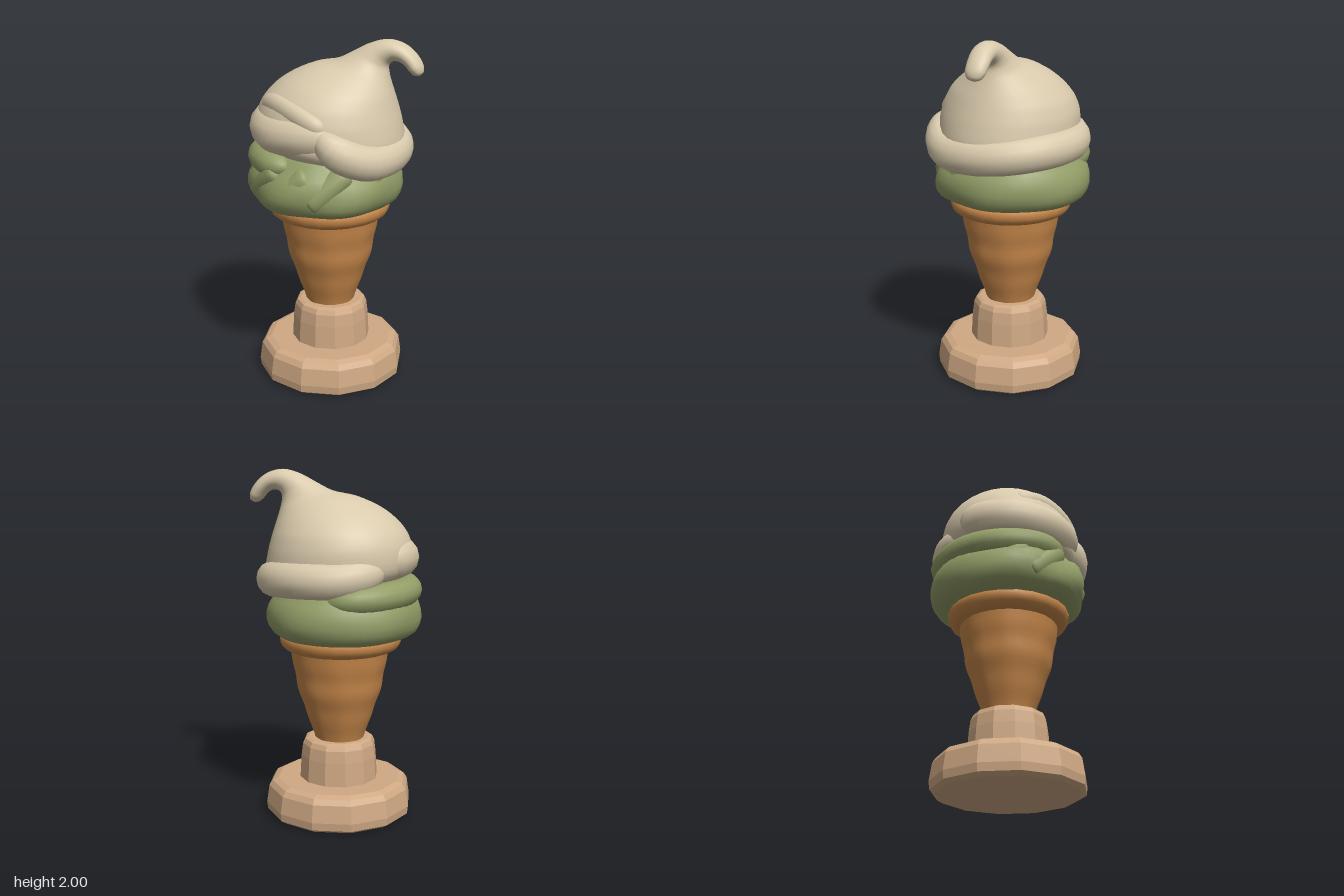
import * as THREE from 'three';

const mat = (name, color) => {
  const m = new THREE.MeshStandardMaterial({ color });
  m.name = name;
  return m;
};

// Skin a list of rings (each an array of Vector3), outward for rings turning about the travel direction
function skin(rings) {
  const n = rings[0].length, pos = [], idx = [];
  rings.forEach(r => r.forEach(p => pos.push(p.x, p.y, p.z)));
  for (let i = 0; i < rings.length - 1; i++) {
    for (let j = 0; j < n; j++) {
      const a = i * n + j, b = i * n + (j + 1) % n;
      idx.push(a, b, a + n, b, b + n, a + n);
    }
  }
  const g = new THREE.BufferGeometry();
  g.setAttribute('position', new THREE.Float32BufferAttribute(pos, 3));
  g.setIndex(idx);
  g.computeVertexNormals();
  return g;
}

function ring(center, u, v, n) {
  return Array.from({ length: n }, (_, j) => {
    const a = j / n * Math.PI * 2;
    return center.clone().addScaledVector(u, Math.cos(a)).addScaledVector(v, Math.sin(a));
  });
}

// Soft roll of cream with rounded ends: rs is the sideways radius, rv the upright one
function roll(points, rs, rv, steps = 28) {
  const curve = new THREE.CatmullRomCurve3(points.map(p => new THREE.Vector3(...p)));
  const up = new THREE.Vector3(0, 1, 0), rings = [];
  for (let i = 0; i <= steps; i++) {
    const t = (1 - Math.cos(i / steps * Math.PI)) / 2;
    const dir = curve.getTangentAt(t);
    const side = up.clone().cross(dir).normalize();
    const top = dir.clone().cross(side);
    const e = Math.min(t, 1 - t) / 0.14;
    const k = e >= 1 ? 1 : Math.sqrt(Math.max(0, 1 - (1 - e) ** 2));
    rings.push(ring(curve.getPointAt(t), side.multiplyScalar(rs * k), top.multiplyScalar(rv * k), 14));
  }
  return skin(rings);
}

// Lathe with a rule for nudging the radius by angle and height
function turned(profile, sides, bump) {
  const rings = profile.map(([r, y]) => Array.from({ length: sides }, (_, j) => {
    const a = j / sides * Math.PI * 2;
    const q = r * (1 + (bump ? bump(a, y) : 0));
    return new THREE.Vector3(Math.sin(a) * q, y, Math.cos(a) * q);
  }));
  return skin(rings);
}

function smoothProfile(points, steps) {
  const c = new THREE.SplineCurve(points.map(p => new THREE.Vector2(...p)));
  return c.getSpacedPoints(steps).map(p => [p.x, p.y]);
}

function faceted(g) {
  const f = g.toNonIndexed();
  f.computeVertexNormals();
  return f;
}

export function createModel() {
  const wood = mat('stand tan', 0xd0a984);
  const wafer = mat('waffle orange', 0xc8884a);
  const green = mat('pistachio green', 0x929d67);
  const cream = mat('vanilla cream', 0xd9caac);

  const model = new THREE.Group();
  model.name = 'iceCreamCone';
  const add = (name, geometry, material, x = 0) => {
    const m = new THREE.Mesh(geometry, material);
    m.name = name;
    m.position.x = x;
    model.add(m);
    return m;
  };

  // Stand: wide foot and narrow socket
  add('standFoot', faceted(turned([[0, 0.005], [0.395, 0.005], [0.425, 0.025], [0.43, 0.07],
    [0.415, 0.17], [0.395, 0.2], [0.36, 0.215], [0, 0.215]], 12)), wood, -0.02);
  add('standSocket', faceted(turned([[0.23, 0.21], [0.222, 0.35], [0.213, 0.42],
    [0.2, 0.448], [0.18, 0.457], [0, 0.457]], 12)), wood, -0.02);

  // Waffle cone with shallow diagonal dimples, then its rim
  const waffle = (a, y) => 0.03 * Math.sin(a * 4 + y * 17) * Math.sin(a * 4 - y * 17) * Math.min(1, (1 - y) * 6);
  add('waffleCone', turned(smoothProfile([[0.14, 0.44], [0.165, 0.53], [0.205, 0.64], [0.24, 0.76],
    [0.262, 0.87], [0.285, 1.0]], 18), 32, waffle), wafer, -0.025);
  add('coneRim', turned(smoothProfile([[0.27, 0.975], [0.305, 0.985], [0.335, 1.005], [0.35, 1.04],
    [0.345, 1.065], [0.325, 1.08], [0.2, 1.085], [0, 1.085]], 20), 24), wafer, -0.03);

  // Green scoop: ripples run diagonally and fade out toward the back
  const ripple = (a, y) => 0.03 * Math.sin(a * 6 - y * 14) * (0.6 + 0.4 * Math.cos(a));
  const scoop = add('greenScoop', turned(smoothProfile([[0, 1.06], [0.25, 1.055], [0.36, 1.07], [0.415, 1.11],
    [0.435, 1.18], [0.42, 1.26], [0.37, 1.33], [0.3, 1.4], [0, 1.43]], 26), 40, ripple), green, -0.05);
  scoop.scale.z = 1.04;

  // Slanted folds across the front of the scoop
  [-1.5, -0.95, -0.4, 0.15, 0.7].forEach((a, i) => {
    const pts = [0, 0.33, 0.67, 1].map(t => {
      const th = a + t * 0.62, r = 0.355 - 0.02 * t;
      return [Math.sin(th) * r - 0.05, 1.14 + t * (0.17 + 0.02 * (i % 2)), Math.cos(th) * r * 1.05];
    });
    add('greenFold' + (i + 1), roll(pts, 0.085, 0.075, 16), green);
  });

  // Upper green swirl wrapping the left and back
  add('greenSwirl', roll([[-0.12, 1.33, 0.36], [-0.3, 1.34, 0.25], [-0.4, 1.335, 0.06], [-0.38, 1.33, -0.14],
    [-0.25, 1.32, -0.3], [-0.05, 1.31, -0.33]], 0.09, 0.08), green);

  // Cream dome flowing into a bent tip: [left x, y, right x, y, half depth, centre z]
  const keys = [
    [-0.01, 1.35, 0.01, 1.35, 0.01, 0], [-0.34, 1.38, 0.36, 1.34, 0.33, 0], [-0.43, 1.46, 0.4, 1.42, 0.395, 0],
    [-0.435, 1.58, 0.385, 1.54, 0.39, 0], [-0.39, 1.68, 0.362, 1.63, 0.36, 0],
    [-0.28, 1.78, 0.343, 1.7, 0.295, 0], [-0.12, 1.855, 0.325, 1.76, 0.205, -0.01],
    [0.02, 1.885, 0.312, 1.81, 0.135, -0.02], [0.12, 1.935, 0.306, 1.85, 0.095, -0.03],
    [0.2, 1.975, 0.316, 1.872, 0.078, -0.035], [0.3, 2, 0.34, 1.884, 0.068, -0.04],
    [0.39, 1.98, 0.372, 1.88, 0.065, -0.045], [0.455, 1.93, 0.4, 1.862, 0.063, -0.05],
    [0.495, 1.87, 0.425, 1.835, 0.058, -0.05], [0.498, 1.83, 0.45, 1.815, 0.038, -0.05],
    [0.48, 1.812, 0.475, 1.81, 0.004, -0.05],
  ];
  const ends = [0, 2].map(o => new THREE.CatmullRomCurve3(keys.map(k => new THREE.Vector3(k[o], k[o + 1], k[5]))));
  const depth = new THREE.CatmullRomCurve3(keys.map(k => new THREE.Vector3(k[4], 0, 0)));
  const rings = [];
  for (let i = 0; i <= 60; i++) {
    const [l, r] = ends.map(c => c.getPoint(i / 60));
    const w = Math.max(0.002, depth.getPoint(i / 60).x);
    rings.push(ring(l.clone().add(r).multiplyScalar(0.5), r.clone().sub(l).multiplyScalar(0.5),
      new THREE.Vector3(0, 0, -w), 36));
  }
  add('creamDome', skin(rings), cream);

  // Cream brim sagging round the right-hand side and back
  add('creamBrim', roll([[0.04, 1.55, 0.34], [0.16, 1.45, 0.345], [0.29, 1.38, 0.24], [0.355, 1.375, 0.06],
    [0.335, 1.39, -0.14], [0.22, 1.41, -0.3], [0.04, 1.42, -0.375], [-0.14, 1.425, -0.35],
    [-0.27, 1.45, -0.25], [-0.33, 1.48, -0.14]], 0.088, 0.098, 44), cream);

  // Cream lobe bulging at the front and left
  add('creamLobe', roll([[0.14, 1.51, 0.25], [-0.02, 1.51, 0.31], [-0.2, 1.5, 0.28], [-0.32, 1.51, 0.16],
    [-0.355, 1.52, 0], [-0.31, 1.52, -0.16]], 0.115, 0.115, 36), cream);
  add('creamFold', roll([[-0.34, 1.63, 0.15], [-0.22, 1.655, 0.26], [-0.06, 1.62, 0.335], [0.1, 1.55, 0.355]],
    0.05, 0.06, 24), cream);

  return model;
}
